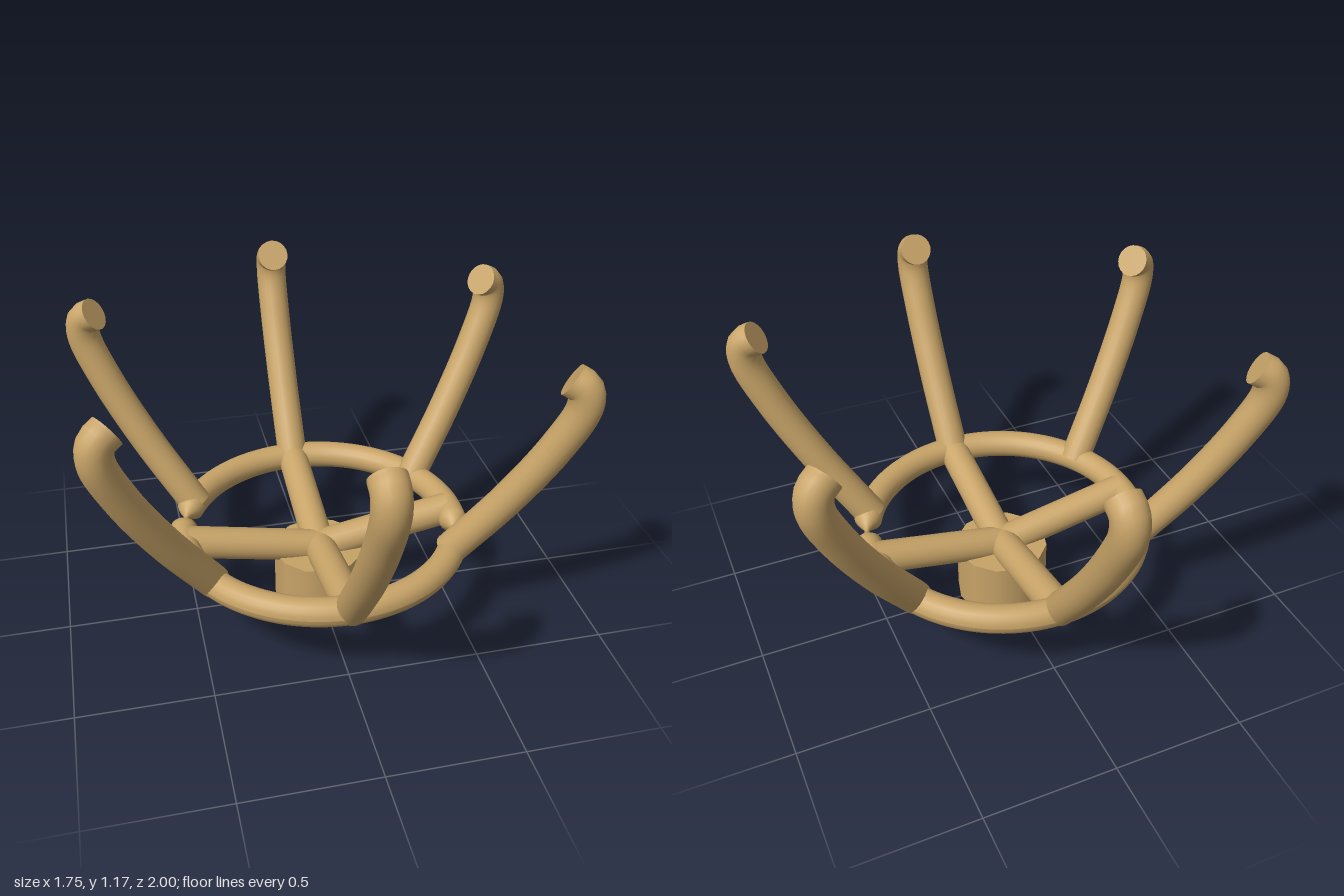
import * as THREE from 'three';

const wood = new THREE.MeshStandardMaterial({ color: 0xc8a468, side: THREE.DoubleSide });
const RADIUS = 0.062;

function mesh(geometry, name) {
  const m = new THREE.Mesh(geometry, wood);
  m.name = name;
  return m;
}

// Round rod along (radius, height) points in the z-y plane, with flat ends
function rod(points, segments, name) {
  const curve = new THREE.CatmullRomCurve3(points.map(([r, y]) => new THREE.Vector3(0, y, r)));
  const group = new THREE.Group();
  group.name = name;
  group.add(mesh(new THREE.TubeGeometry(curve, segments, RADIUS, 20), name + 'Body'));
  for (const t of [0, 1]) {
    const cap = mesh(new THREE.CircleGeometry(RADIUS, 20), name + 'End');
    const p = curve.getPointAt(t);
    cap.position.copy(p);
    cap.lookAt(p.clone().addScaledVector(curve.getTangentAt(t), t ? 1 : -1));
    group.add(cap);
  }
  return group;
}

// Ring whose tube narrows to a twisted neck at two opposite places
function pinchedRing() {
  const R = 0.528, r = 0.054, half = 0.13, neck = 0.3;
  const g = new THREE.TorusGeometry(R, r, 20, 144);
  const pos = g.attributes.position;
  for (let i = 0; i < pos.count; i++) {
    const x = pos.getX(i), y = pos.getY(i), z = pos.getZ(i);
    const a = Math.atan2(y, x);
    const d = Math.min(Math.abs(a - neck), Math.abs(a - neck + Math.PI));
    if (d >= half) continue;
    const s = Math.max(0.15, d / half);
    const rad = R + (Math.hypot(x, y) - R) * s;
    pos.setXYZ(i, rad * Math.cos(a), rad * Math.sin(a), z * s);
  }
  g.rotateX(Math.PI / 2);
  g.computeVertexNormals();
  return g;
}

export function createModel() {
  const model = new THREE.Group();
  model.name = 'prongedHolder';

  // Base plug
  const hub = mesh(new THREE.CylinderGeometry(0.18, 0.18, 0.235, 12), 'hub');
  hub.position.y = 0.1175;
  model.add(hub);

  // Supporting ring
  const ring = mesh(pinchedRing(), 'ring');
  ring.position.y = 0.334;
  model.add(ring);

  // Four spokes rising from the hub to the ring
  for (let i = 0; i < 4; i++) {
    const spoke = rod([[0, 0.235], [0.525, 0.335]], 4, 'spoke');
    spoke.rotation.y = i * Math.PI / 2;
    model.add(spoke);
  }

  // Six flared prongs with tips hooked inward
  const profile = [[0.52, 0.33], [0.715, 0.6], [0.865, 0.85], [0.937, 1.02], [0.928, 1.085], [0.882, 1.112]];
  for (let i = 0; i < 6; i++) {
    const prong = rod(profile, 48, 'prong');
    prong.rotation.y = i * Math.PI / 3;
    model.add(prong);
  }
  return model;
}
